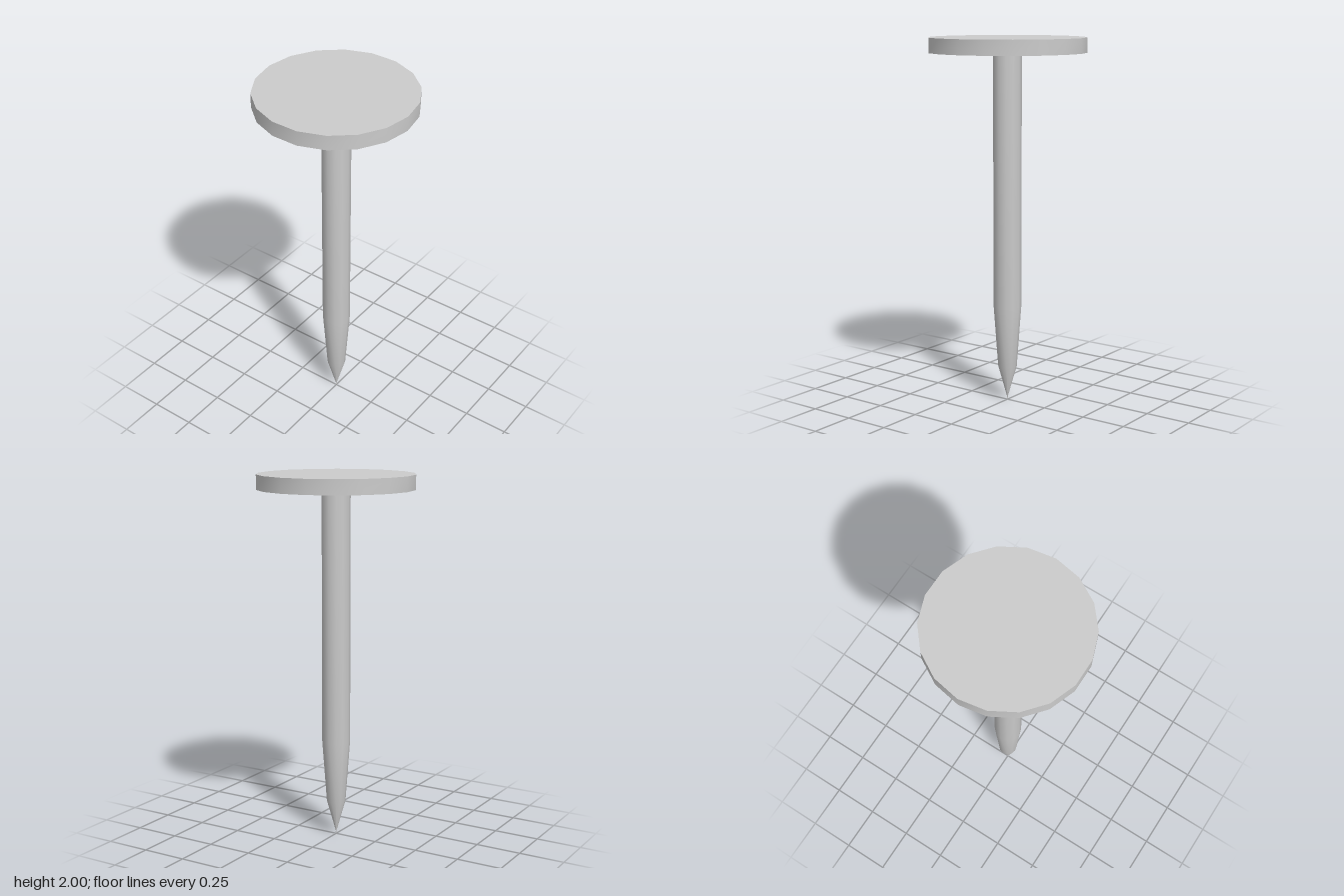
import * as THREE from 'three';
import { toCreasedNormals } from 'three/addons/utils/BufferGeometryUtils.js';

const material = new THREE.MeshStandardMaterial({ color: 0xcccccc });

function addPart(group, name, geometry, creaseAngle) {
  const mesh = new THREE.Mesh(toCreasedNormals(geometry, creaseAngle), material);
  mesh.name = name;
  group.add(mesh);
  return mesh;
}

export function createModel() {
  const group = new THREE.Group();
  group.name = 'nail';

  // Flat round head, with a corner on the x axis
  const head = new THREE.CylinderGeometry(0.424, 0.424, 0.08, 18, 1, false, Math.PI / 2);
  addPart(group, 'head', head, 0.7).position.y = 1.96;

  // Straight shank that narrows, then ends in a sharp point
  const profile = [
    [0, 0.01], [0.052, 0.195], [0.077, 0.54], [0.077, 1.92],
  ].map(([r, y]) => new THREE.Vector2(r, y));
  addPart(group, 'shank', new THREE.LatheGeometry(profile, 12), 0.7);

  // Tiny tip that closes the point on the ground
  const tip = new THREE.ConeGeometry(0.003, 0.011, 12).rotateX(Math.PI);
  addPart(group, 'tip', tip, 0.7).position.y = 0.0055;

  return group;
}
